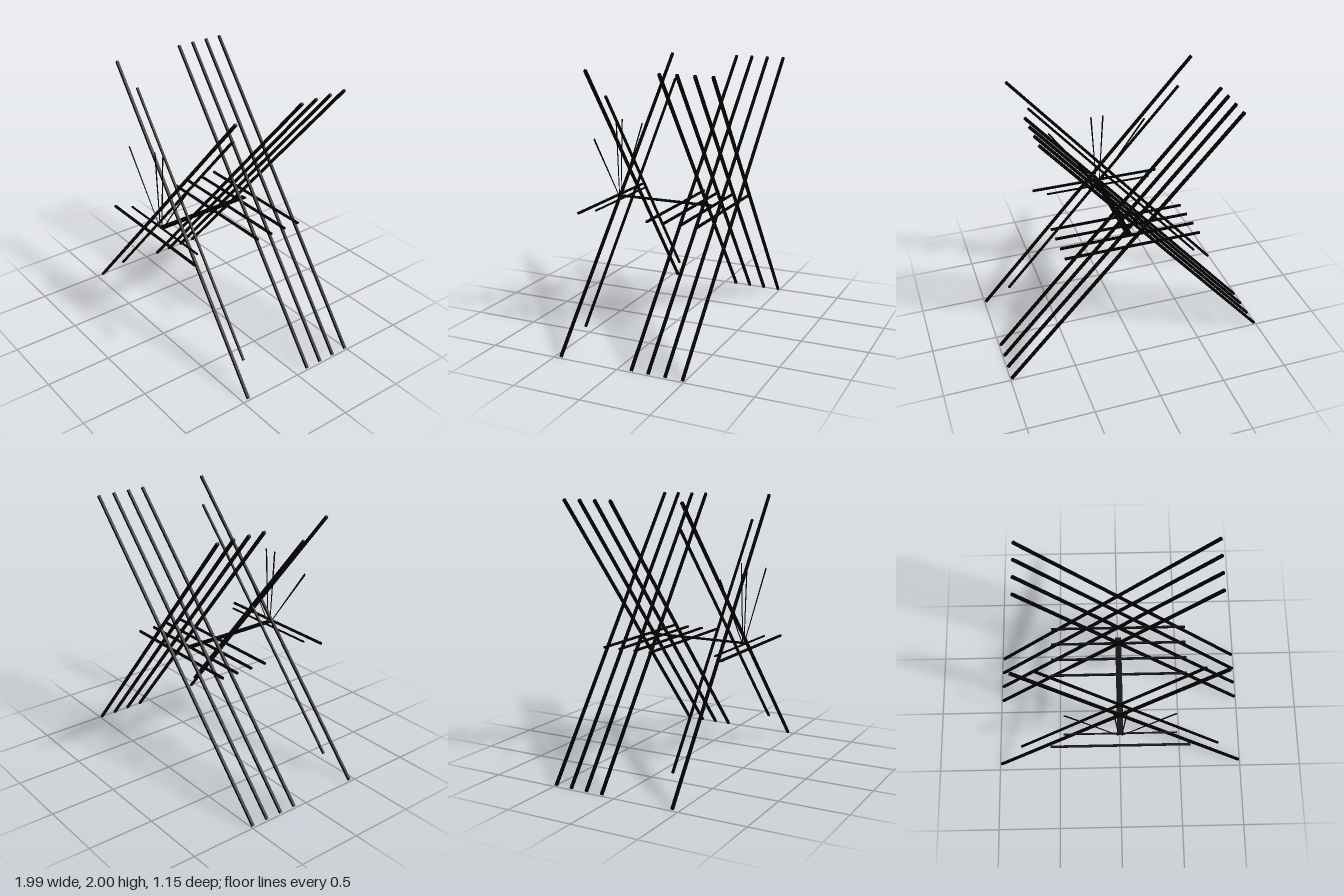
import * as THREE from 'three';

export function createModel() {
  const model = new THREE.Group();
  model.name = 'crossedRodFrame';
  const black = new THREE.MeshStandardMaterial({ color: 0x000000 });

  const add = (geometry, name) => {
    const mesh = new THREE.Mesh(geometry, black);
    mesh.name = name;
    model.add(mesh);
    return mesh;
  };

  // Square rod between two points
  const rod = (a, b, width, name) => {
    const start = new THREE.Vector3(...a), end = new THREE.Vector3(...b);
    const dir = end.clone().sub(start);
    const mesh = add(new THREE.BoxGeometry(width, dir.length(), width), name);
    mesh.position.copy(start).add(end).multiplyScalar(0.5);
    mesh.quaternion.setFromUnitVectors(new THREE.Vector3(0, 1, 0), dir.normalize());
  };

  // Mirrored pair of long rods crossing in an X, leaning back
  const cross = (bottom, top, width, name) => {
    for (const s of [1, -1]) {
      rod([s * bottom[0], bottom[1], bottom[2]], [-s * top[0], top[1], top[2]], width,
        name + (s > 0 ? 'Left' : 'Right'));
    }
  };

  // Five tall crosses and one shorter one behind the front cross
  [0.451, -0.105, -0.232, -0.359, -0.487].forEach((z, i) =>
    cross([0.989, 0.007, z], [0.704, 1.993, z - 0.084], 0.019, 'tallCross' + (i + 1)));
  cross([0.807, 0.184, 0.352], [0.575, 1.806, 0.284], 0.0155, 'shortCross');

  // Level crossbars
  [0.562, 0.004, -0.123, -0.25, -0.378].forEach((z, i) =>
    rod([-0.518, 0.925, z], [0.518, 0.925, z], 0.0155, 'crossbar' + (i + 1)));
  rod([-0.422, 0.931, 0.471], [0.422, 0.931, 0.471], 0.011, 'shortCrossbar');

  // Flat central strip running front to back
  add(new THREE.BoxGeometry(0.046, 0.008, 0.776), 'centralStrip').position.set(0, 0.951, 0.102);

  // Thin upright needles fanning out at the front, wider towards the tip
  const needle = (base, tip, baseWidth, tipWidth, name) => {
    const dir = new THREE.Vector2(tip[0] - base[0], tip[1] - base[1]).normalize();
    const corner = (p, w) => new THREE.Vector2(p[0] - dir.y * w / 2, p[1] + dir.x * w / 2);
    const shape = new THREE.Shape([
      corner(base, baseWidth), corner(base, -baseWidth),
      corner(tip, -tipWidth), corner(tip, tipWidth),
    ]);
    add(new THREE.ExtrudeGeometry(shape, { depth: 0.005, bevelEnabled: false }), name).position.z = 0.487;
  };
  for (const s of [1, -1]) {
    const side = s > 0 ? 'Left' : 'Right';
    needle([s * 0.012, 0.95], [s * 0.048, 1.54], 0.004, 0.011, 'innerNeedle' + side);
    needle([s * 0.018, 0.95], [s * 0.387, 1.458], 0.004, 0.014, 'outerNeedle' + side);
  }

  return model;
}
